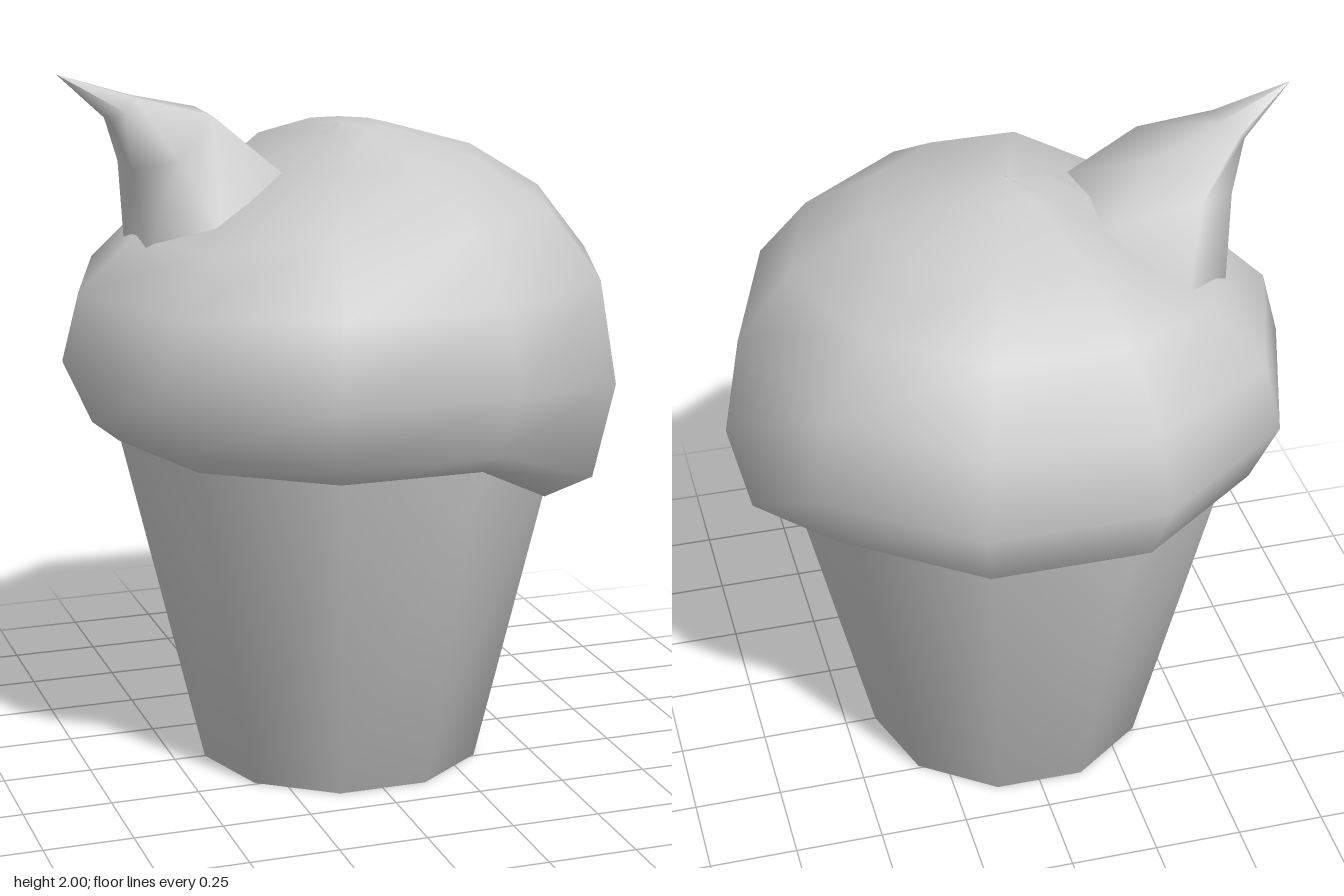
import * as THREE from 'three';

const SIDES = 10;

// Skin a stack of closed rings (bottom to top) with shared, smooth normals
function loft(name, rings) {
  const n = rings[0].length;
  const index = [];
  for (let i = 0; i < rings.length - 1; i++) {
    for (let j = 0; j < n; j++) {
      const a = i * n + j, b = i * n + (j + 1) % n;
      index.push(a, a + n, b, b, a + n, b + n);
    }
  }
  const geometry = new THREE.BufferGeometry();
  geometry.setAttribute('position', new THREE.Float32BufferAttribute(rings.flat(2), 3));
  geometry.setIndex(index);
  geometry.computeVertexNormals();
  const material = new THREE.MeshStandardMaterial({ color: 0xcccccc, side: THREE.DoubleSide });
  const mesh = new THREE.Mesh(geometry, material);
  mesh.name = name;
  return mesh;
}

// Ten-sided ring; shape(j) gives [radius, height] of corner j
function ring(shape) {
  return Array.from({ length: SIDES }, (_, j) => {
    const t = j / SIDES * Math.PI * 2;
    const [r, y] = shape(j);
    return [r * Math.cos(t), y, r * Math.sin(t)];
  });
}

// Tapered cup with a closed base
function createCup() {
  const profile = [[0.001, 0], [0.41, 0], [0.64, 0.97]];
  return loft('cup', profile.map(p => ring(() => p)));
}

// Domed icing: a drip hangs at corners 0 and 1, a hollow sits under the curl
function createIcing() {
  // radius, height, drip radius, drip height, hollow depth
  const profile = [
    [0.645, 0.97, 0.605, 0.80, 0],
    [0.72, 1.03, 0.74, 0.87, 0],
    [0.80, 1.21, 0.80, 1.14, 0],
    [0.75, 1.43, 0.75, 1.43, 0.03],
    [0.60, 1.62, 0.60, 1.62, 0.08],
    [0.39, 1.75, 0.39, 1.75, 0.11],
    [0.135, 1.825, 0.135, 1.825, 0.03],
    [0.001, 1.83, 0.001, 1.83, 0],
  ];
  const hollow = { 4: 0.85, 5: 1, 6: 0.85 };
  return loft('icing', profile.map(([r, y, dripR, dripY, depth]) => ring(j =>
    j < 2 ? [dripR, dripY] : [r, y - depth * (hollow[j] || 0)])));
}

// Pointed curl leaning out to the side, flaring where it meets the icing
function createCurl() {
  const base = [
    [-0.21, 1.72, 0.16], [-0.41, 1.57, 0.25], [-0.58, 1.51, 0.10],
    [-0.58, 1.51, -0.16], [-0.42, 1.57, -0.32], [-0.23, 1.72, -0.16],
  ];
  const middle = [
    [-0.39, 1.88, 0.09], [-0.50, 1.77, 0.15], [-0.61, 1.74, 0.07],
    [-0.61, 1.74, -0.09], [-0.50, 1.77, -0.17], [-0.39, 1.88, -0.09],
  ];
  const neck = [
    [-0.59, 1.93, 0.04], [-0.63, 1.90, 0.08], [-0.66, 1.87, 0.04],
    [-0.66, 1.87, -0.03], [-0.63, 1.90, -0.07], [-0.59, 1.93, -0.03],
  ];
  const tip = base.map(() => [-0.80, 2.00, 0.02]);
  return loft('curl', [base, middle, neck, tip]);
}

export function createModel() {
  const group = new THREE.Group();
  group.name = 'cupcake';
  group.add(createCup(), createIcing(), createCurl());
  return group;
}
